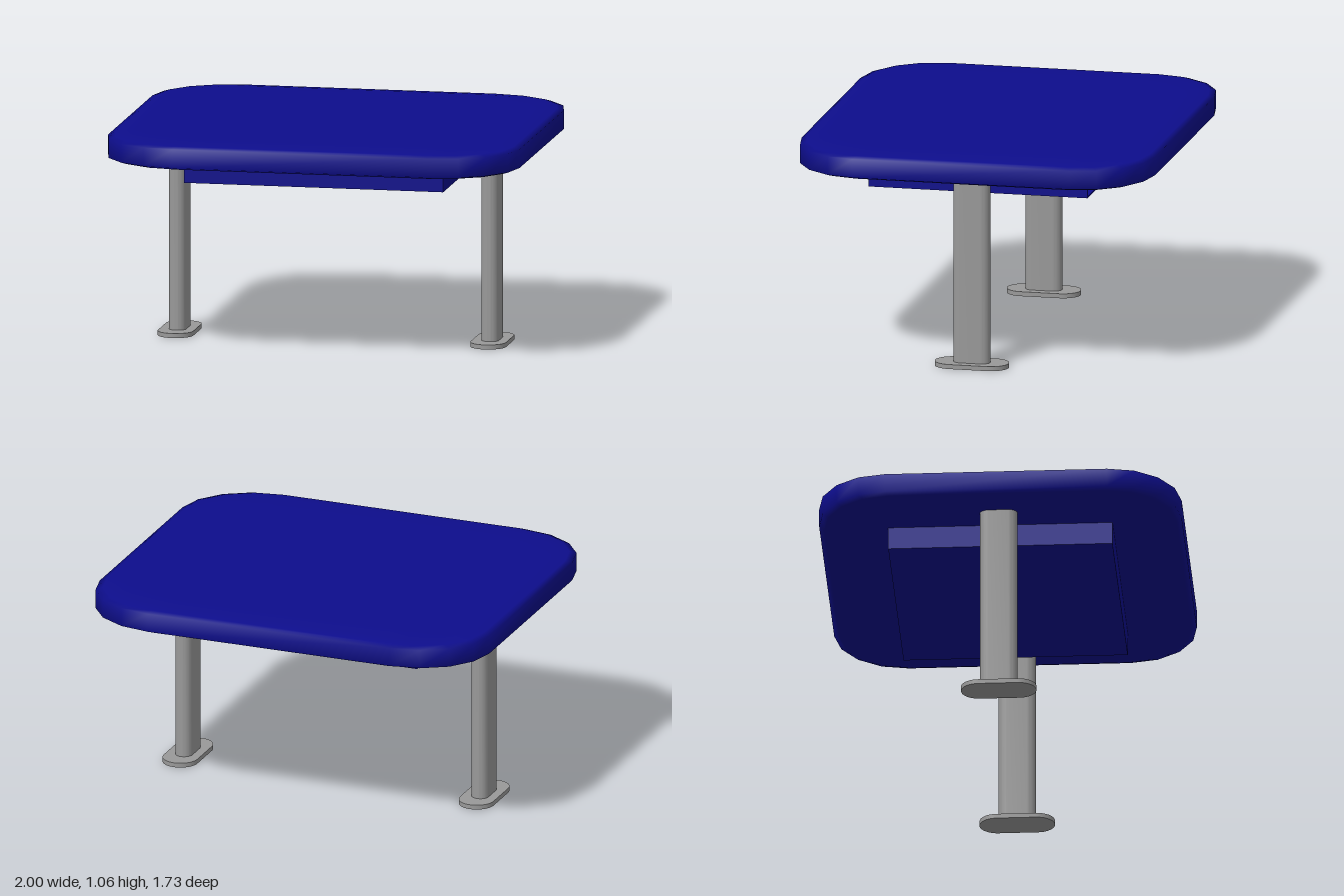
import * as THREE from 'three';
import { toCreasedNormals } from 'three/addons/utils/BufferGeometryUtils.js';

const blue = new THREE.MeshStandardMaterial({ color: 0x0d0d8c });
blue.name = 'navy blue';
const grey = new THREE.MeshStandardMaterial({ color: 0x999999 });
grey.name = 'metal grey';

function addMesh(parent, name, geometry, material, x, y, z) {
  const mesh = new THREE.Mesh(geometry, material);
  mesh.name = name;
  mesh.position.set(x, y, z);
  parent.add(mesh);
  return mesh;
}

// Rounded rectangle outline, four elliptical corners of four facets each
function topOutline() {
  const points = [];
  for (let corner = 0; corner < 4; corner++) {
    const sx = corner === 0 || corner === 3 ? 1 : -1;
    const sz = corner < 2 ? 1 : -1;
    for (let k = 0; k <= 4; k++) {
      const a = (corner + k / 4) * Math.PI / 2;
      points.push([sx * 0.62 + 0.38 * Math.cos(a), sz * 0.53 + 0.335 * Math.sin(a)]);
    }
  }
  return points;
}

// Slab skinned over scaled copies of the outline, softly crowned at the rim
function topGeometry() {
  const rings = [
    [0, 0.93], [0.75, 0.93], [0.9, 0.933], [0.97, 0.939], [1, 0.95],
    [1, 1.04], [0.97, 1.051], [0.9, 1.057], [0.75, 1.06], [0, 1.06],
  ];
  const outline = topOutline();
  const n = outline.length;
  const positions = [];
  const index = [];
  for (const [s, y] of rings) for (const [x, z] of outline) positions.push(x * s, y, z * s);
  for (let j = 0; j < rings.length - 1; j++) {
    for (let i = 0; i < n; i++) {
      const a = j * n + i, b = j * n + (i + 1) % n;
      index.push(a, a + n, b, b, a + n, b + n);
    }
  }
  const geometry = new THREE.BufferGeometry();
  geometry.setAttribute('position', new THREE.Float32BufferAttribute(positions, 3));
  geometry.setIndex(index);
  geometry.computeVertexNormals();
  return geometry;
}

// Upright bar with a stadium section, long in z
function stadiumBar(radius, halfLength, height) {
  const h = halfLength - radius;
  const shape = new THREE.Shape();
  shape.absarc(0, h, radius, 0, Math.PI, false);
  shape.absarc(0, -h, radius, Math.PI, Math.PI * 2, false);
  shape.closePath();
  const geometry = new THREE.ExtrudeGeometry(shape, { depth: height, bevelEnabled: false, curveSegments: 10 });
  geometry.rotateX(-Math.PI / 2);
  return toCreasedNormals(geometry, 0.7);
}

export function createModel() {
  const model = new THREE.Group();
  model.name = 'table';

  addMesh(model, 'tableTop', topGeometry(), blue, 0, 0, 0);

  // Storage tray under the top, open at the back
  const tray = new THREE.Group();
  tray.name = 'tray';
  model.add(tray);
  const t = 0.008;
  addMesh(tray, 'trayFloor', new THREE.BoxGeometry(1.26, t, 1.07), blue, 0, 0.82 + t / 2, 0);
  addMesh(tray, 'trayFront', new THREE.BoxGeometry(1.26, 0.112, t), blue, 0, 0.876, 0.535 - t / 2);
  for (const side of [-1, 1]) {
    addMesh(tray, side > 0 ? 'traySideLeft' : 'traySideRight',
      new THREE.BoxGeometry(t, 0.112, 1.07), blue, side * (0.63 - t / 2), 0.876, 0);
  }

  // Two pedestal legs with foot plates
  for (const side of [-1, 1]) {
    const suffix = side > 0 ? 'Left' : 'Right';
    addMesh(model, 'leg' + suffix, stadiumBar(0.042, 0.09, 0.915), grey, side * 0.76, 0.02, 0);
    addMesh(model, 'foot' + suffix, stadiumBar(0.086, 0.18, 0.022), grey, side * 0.76, 0, 0);
  }
  return model;
}
